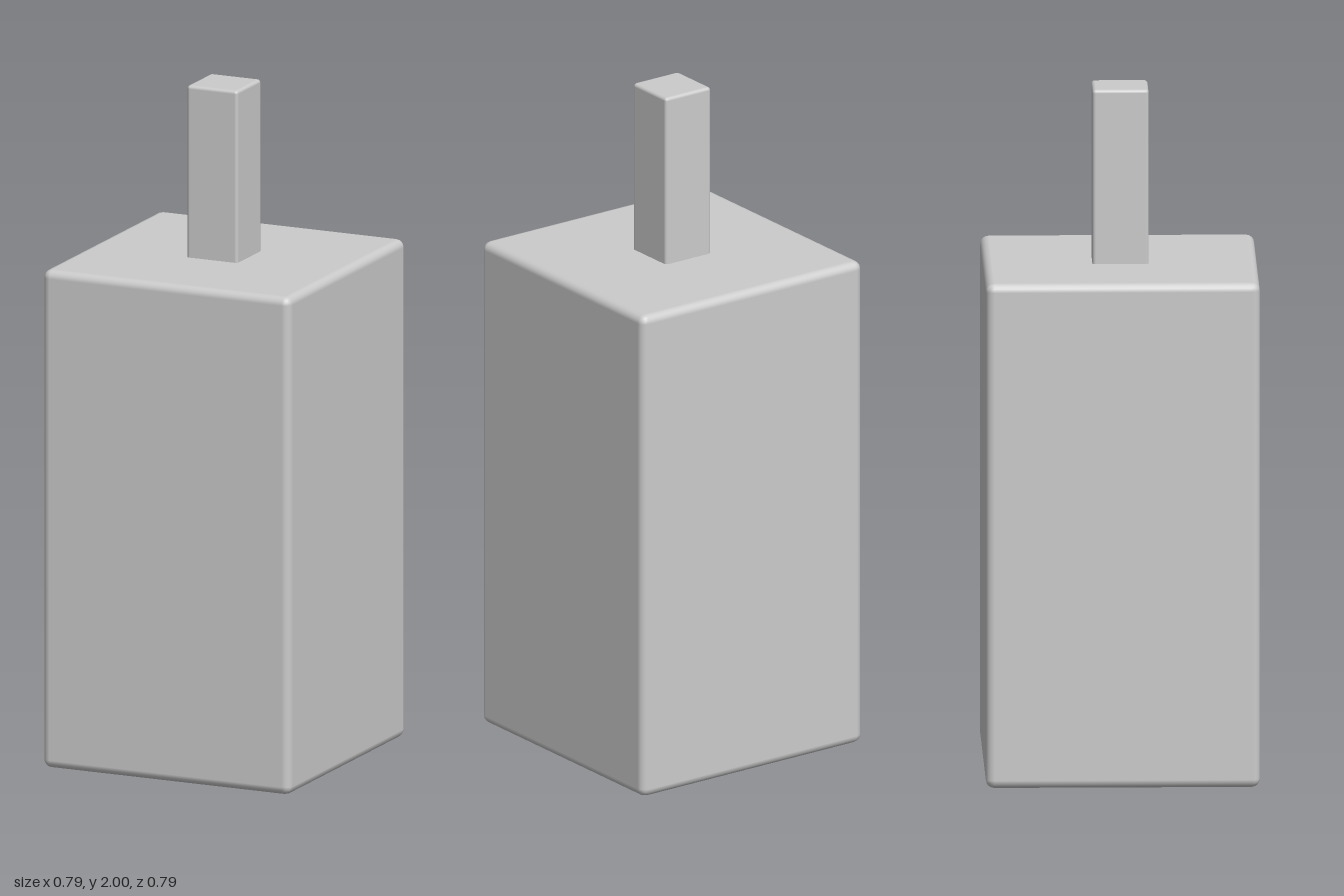
import * as THREE from 'three';
import { RoundedBoxGeometry } from 'three/addons/geometries/RoundedBoxGeometry.js';

export function createModel() {
  const group = new THREE.Group();
  const material = new THREE.MeshStandardMaterial({ color: 0xcccccc });

  // Square block with softened edges, spanning y0 to y1
  function addBlock(name, width, y0, y1, radius) {
    const geometry = new RoundedBoxGeometry(width, y1 - y0, width, 2, radius);
    const mesh = new THREE.Mesh(geometry, material);
    mesh.name = name;
    mesh.position.y = (y0 + y1) / 2;
    group.add(mesh);
  }

  // Tall main block
  addBlock('body', 0.794, 0, 1.487, 0.025);
  // Slim square post, sunk slightly into the body's top
  addBlock('post', 0.163, 1.47, 2, 0.01);

  return group;
}
